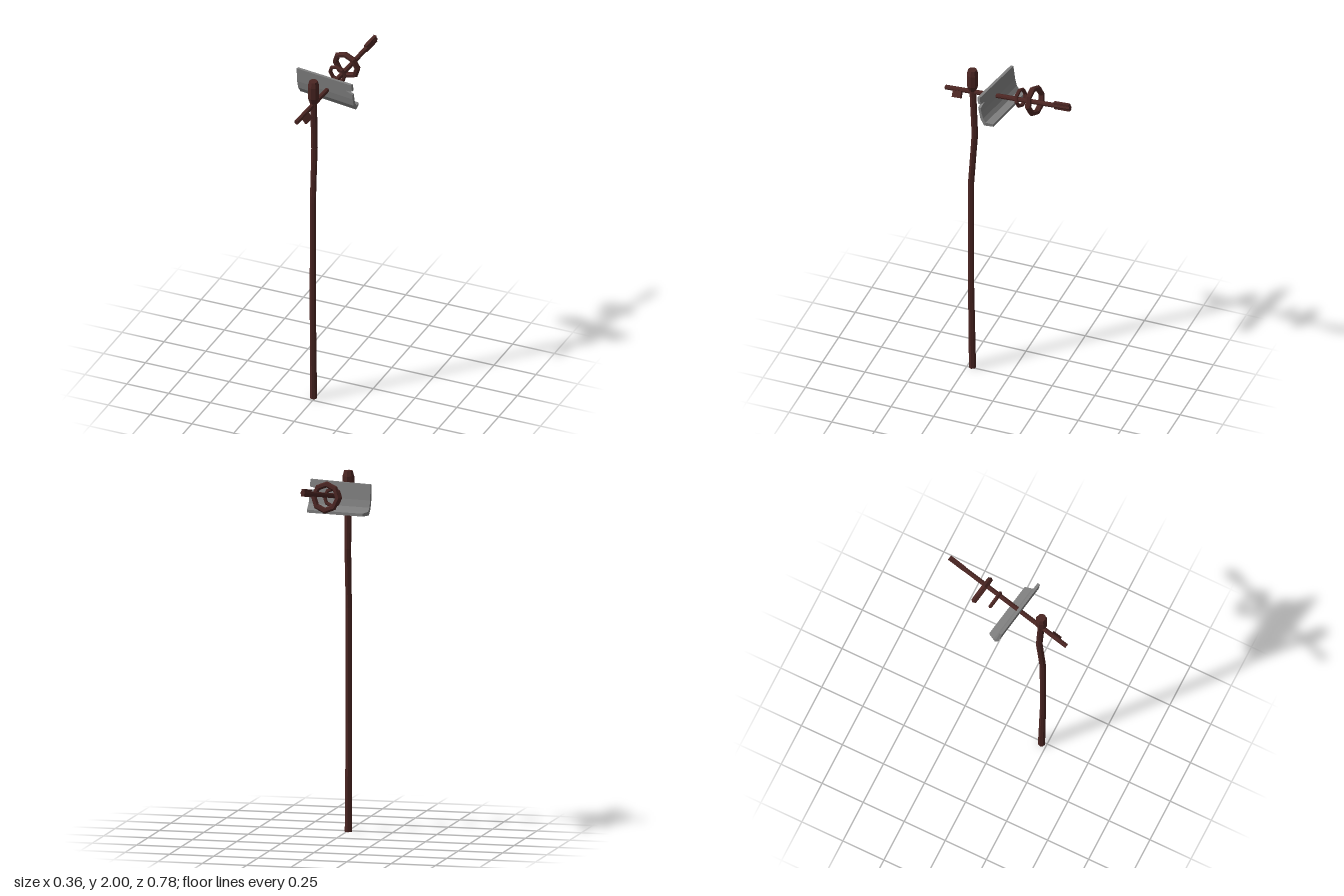
import * as THREE from 'three';

const wood = new THREE.MeshStandardMaterial({ color: 0x4a2522, flatShading: true });
const board = new THREE.MeshStandardMaterial({ color: 0x808080, flatShading: true });

const YAW = -0.164;   // crossbar and board are turned together
const PITCH = 0.186;  // crossbar rises towards the back

function add(parent, name, geometry, material, x = 0, y = 0, z = 0) {
  const mesh = new THREE.Mesh(geometry, material);
  mesh.name = name;
  mesh.position.set(x, y, z);
  parent.add(mesh);
  return mesh;
}

function moveVertices(geometry, rule) {
  const p = geometry.attributes.position;
  const v = new THREE.Vector3();
  for (let i = 0; i < p.count; i++) {
    rule(v.fromBufferAttribute(p, i));
    p.setXYZ(i, v.x, v.y, v.z);
  }
  geometry.computeVertexNormals();
  return geometry;
}

// Faceted rod through rings of [y, z, radius]
function bentRod(rings, sides) {
  const n = rings.length - 1;
  const geometry = new THREE.CylinderGeometry(1, 1, n, sides, n);
  return moveVertices(geometry, (v) => {
    const [y, z, r] = rings[Math.round(v.y + n / 2)];
    v.set(v.x * r, y, v.z * r + z);
  });
}

function shapeOf(points) {
  return new THREE.Shape(points.map(([x, y]) => new THREE.Vector2(x, y)));
}

// Crooked pole with a swollen knob on top
function buildPole(model) {
  const shaft = [
    [0, 0.22, 0.021], [0.6, 0.229, 0.018], [1.24, 0.228, 0.018],
    [1.42, 0.216, 0.018], [1.57, 0.206, 0.019], [1.88, 0.219, 0.02],
  ];
  const knob = [
    [1.865, 0.22, 0.021], [1.9, 0.22, 0.033], [1.97, 0.22, 0.033], [2, 0.22, 0.024],
  ];
  add(model, 'pole', bentRod(shaft, 8), wood, -0.009);
  add(model, 'poleKnob', bentRod(knob, 8), wood, -0.009);
}

// Tilted crossbar with a peg, an end block and two hanging rings
function buildCrossbar(model) {
  const bar = new THREE.Group();
  bar.name = 'crossbar';
  bar.position.set(0.027, 1.895, -0.002);
  bar.rotation.set(PITCH, YAW, 0, 'YXZ');
  model.add(bar);

  const rod = add(bar, 'crossbarRod', new THREE.CylinderGeometry(0.0135, 0.0135, 0.802, 8), wood);
  rod.rotation.x = Math.PI / 2;

  const peg = add(bar, 'frontPeg', new THREE.BoxGeometry(0.016, 0.045, 0.055), wood, 0.015, -0.02, 0.322);
  peg.rotation.z = 0.6;
  add(bar, 'backBlock', new THREE.BoxGeometry(0.018, 0.042, 0.1), wood, 0, 0.002, -0.35);

  const rings = [
    ['largeRing', 0.072, 0.017, [0.021, 1.91, -0.157]],
    ['smallRing', 0.047, 0.011, [0.006, 1.897, -0.069]],
  ];
  for (const [name, radius, tube, [x, y, z]] of rings) {
    const ring = add(model, name, new THREE.TorusGeometry(radius, tube, 6, 8), wood, x, y, z);
    ring.rotation.copy(bar.rotation);
  }
}

// Bent signboard: leaning upper panel with a split, curved lower edge
function buildBoard(model) {
  const sign = new THREE.Group();
  sign.name = 'signboard';
  sign.rotation.y = YAW;
  model.add(sign);

  const thickness = 0.016;
  const joint = 1.87;
  const panel = shapeOf([
    [-0.171, joint], [0.192, joint], [0.194, 1.9], [0.15, 1.915],
    [0.192, 1.923], [0.19, 1.963], [0.05, 1.96], [-0.168, 1.956],
  ]);
  const upper = new THREE.ExtrudeGeometry(panel, { depth: thickness, bevelEnabled: false });
  moveVertices(upper, (v) => { v.z += 0.064 + (v.y - joint) * 0.12; });
  add(sign, 'upperPanel', upper, board);

  // Profile points are (-z, y), swept along x
  const profile = shapeOf([
    [-0.08, joint], [-0.07, 1.825], [-0.047, 1.79], [0.002, 1.79],
    [0.002, 1.806], [-0.038, 1.811], [-0.054, 1.832], [-0.064, joint],
  ]);
  const lower = new THREE.ExtrudeGeometry(profile, { depth: 0.363, bevelEnabled: false });
  lower.rotateY(Math.PI / 2);
  moveVertices(lower, (v) => {
    const back = Math.max(0, 0.04 - v.z) / 0.04;
    v.x += -0.171 + back * (v.x < 0.1 ? 0.016 : -0.014);
  });
  add(sign, 'lowerLip', lower, board);
}

export function createModel() {
  const model = new THREE.Group();
  model.name = 'signpost';
  buildPole(model);
  buildCrossbar(model);
  buildBoard(model);
  return model;
}
